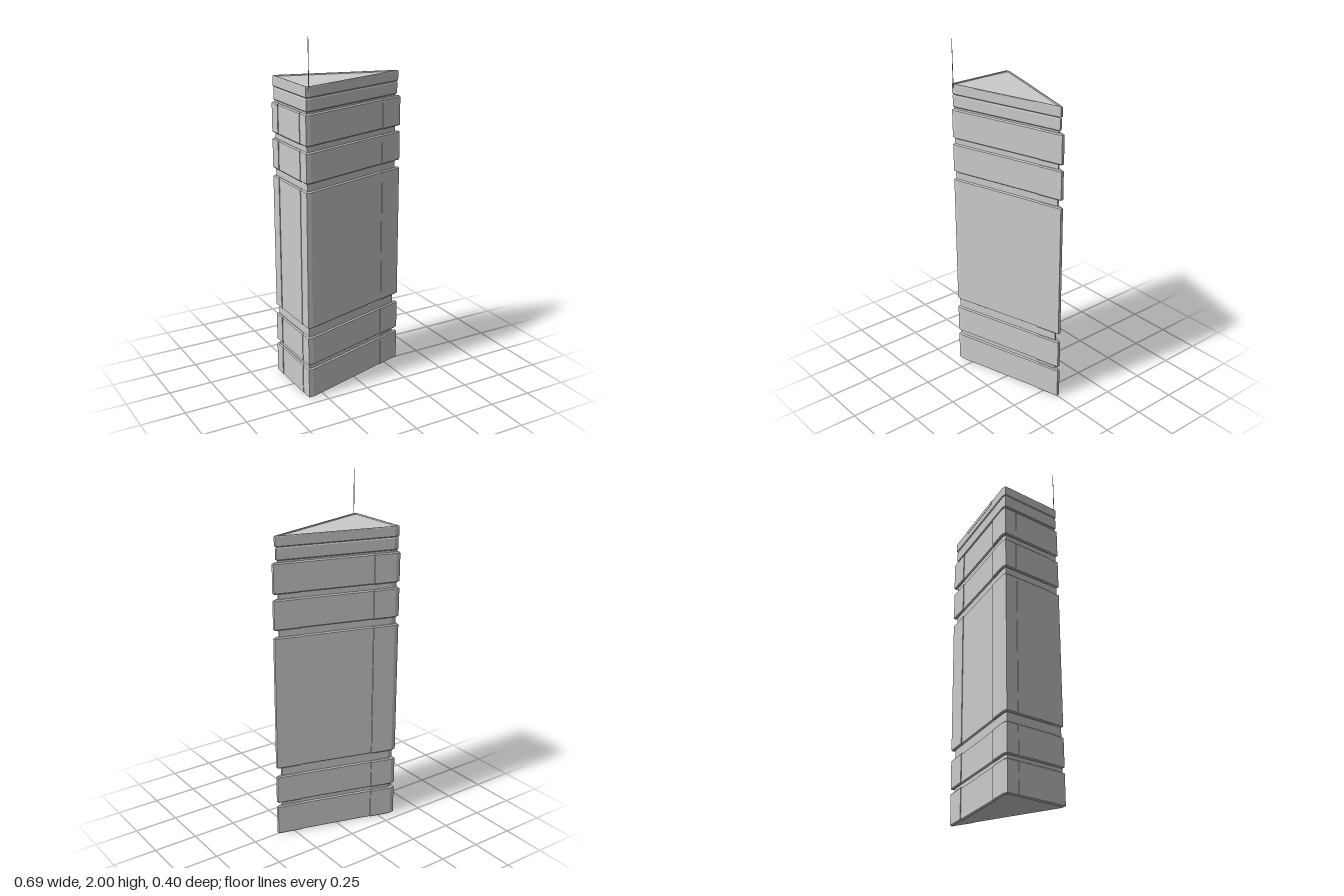
import * as THREE from 'three';

const SLOPE = 0.289;
const material = new THREE.MeshStandardMaterial({ color: 0xcccccc, flatShading: true });

// Half depth of the wedge at x, with the wall moved inwards by d
const half = (x, d) => 0.1075 - 1.04 * d - SLOPE * x;

// Blunt-cornered triangular outline, counter-clockwise from above
function outline(d) {
  const tip = 0.345 - 2.5 * d, left = -0.347 + d, corner = -0.32 + d;
  const back = [[tip, -half(tip, d)], [corner, -half(corner, d)], [left, -0.197 + d]];
  return [...back, ...back.map(([x, z]) => [x, -z]).reverse()];
}

// Corner plates lie slightly proud of the wall
function tipOutline(d) {
  const x = 0.345 - d, inner = 0.208;
  return [[x, half(x, d)], [x, -half(x, d)], [inner, -half(inner, d)], [inner, half(inner, d)]];
}
function backCornerOutline(d) {
  const left = -0.347 + d, corner = -0.32 + d;
  return [[-0.2, -half(-0.2, d)], [corner, -half(corner, d)], [left, -0.197 + d],
    [left, -0.128], [-0.2, -0.128]];
}
function leftPanelOutline(d) {
  const x = -0.346 + d;
  return [[x, -0.12], [x, 0.125], [-0.33, 0.125], [-0.33, -0.12]];
}

// Skin a stack of [height, inset] levels and close both ends
function stack(name, shape, levels) {
  const rings = levels.map(([y, d]) => shape(d).map(([x, z]) => [x, y, z]));
  const n = rings[0].length, pos = [];
  const tri = (...p) => p.forEach((v) => pos.push(...v));
  for (let i = 0; i + 1 < rings.length; i++) {
    for (let j = 0; j < n; j++) {
      const k = (j + 1) % n, lo = rings[i], hi = rings[i + 1];
      tri(lo[j], lo[k], hi[k]);
      tri(lo[j], hi[k], hi[j]);
    }
  }
  const bottom = rings[0], top = rings[rings.length - 1];
  for (let j = 1; j + 1 < n; j++) {
    tri(bottom[0], bottom[j + 1], bottom[j]);
    tri(top[0], top[j], top[j + 1]);
  }
  const geo = new THREE.BufferGeometry();
  geo.setAttribute('position', new THREE.Float32BufferAttribute(pos, 3));
  geo.computeVertexNormals();
  const mesh = new THREE.Mesh(geo, material);
  mesh.name = name;
  return mesh;
}

export function createModel() {
  const group = new THREE.Group();
  group.name = 'triangularTower';
  const sections = [[0, 0.18], [0.2, 0.37], [0.42, 1.2], [1.24, 1.41], [1.44, 1.61]];

  // Body: bevelled sections with grooves between them
  const levels = [];
  for (const [a, b] of sections) {
    levels.push([a, 0.012], [a + 0.006, 0.004], [b - 0.006, 0.004], [b, 0.012]);
  }
  // Neck under the roof cap
  levels.push([1.62, 0.012], [1.625, 0.008], [1.685, 0.008], [1.695, 0.012]);
  group.add(stack('body', outline, levels));

  // Roof cap with a low rim around a sunken top
  group.add(stack('roofCap', outline, [
    [1.69, 0.012], [1.697, 0.006], [1.748, 0.006], [1.752, 0.008], [1.752, 0.013], [1.745, 0.014],
  ]));

  // Corner plates and left-side panels on every section
  for (const [a, b] of sections) {
    const plate = [[a, 0.006], [a + 0.006, 0], [b - 0.006, 0], [b, 0.006]];
    group.add(stack('tipPlate', tipOutline, plate));
    group.add(stack('backCornerPlate', backCornerOutline, plate));
    group.add(stack('leftPanel', leftPanelOutline, plate));
  }

  // Shallow trapezoid insets on the long sides of the roof cap
  const trapezoid = new THREE.Shape([[-0.19, 0.02], [-0.165, 0], [0.165, 0], [0.19, 0.02]]
    .map(([x, y]) => new THREE.Vector2(x, y)));
  const insetGeo = new THREE.ExtrudeGeometry(trapezoid, { depth: 0.003, bevelEnabled: false });
  const angle = Math.atan(SLOPE);
  for (const side of [1, -1]) {
    const inset = new THREE.Mesh(insetGeo, material);
    inset.name = side > 0 ? 'frontRoofInset' : 'backRoofInset';
    inset.rotation.y = side > 0 ? angle : Math.PI - angle;
    inset.position.set(0, 1.73, side * (half(0, 0.006) - 0.0015));
    group.add(inset);
  }

  // Thin antenna at the front left-hand corner of the roof
  const antenna = new THREE.Mesh(new THREE.CylinderGeometry(0.0015, 0.0025, 0.27, 6), material);
  antenna.name = 'antenna';
  antenna.position.set(-0.325, 1.865, 0.194);
  group.add(antenna);

  return group;
}
